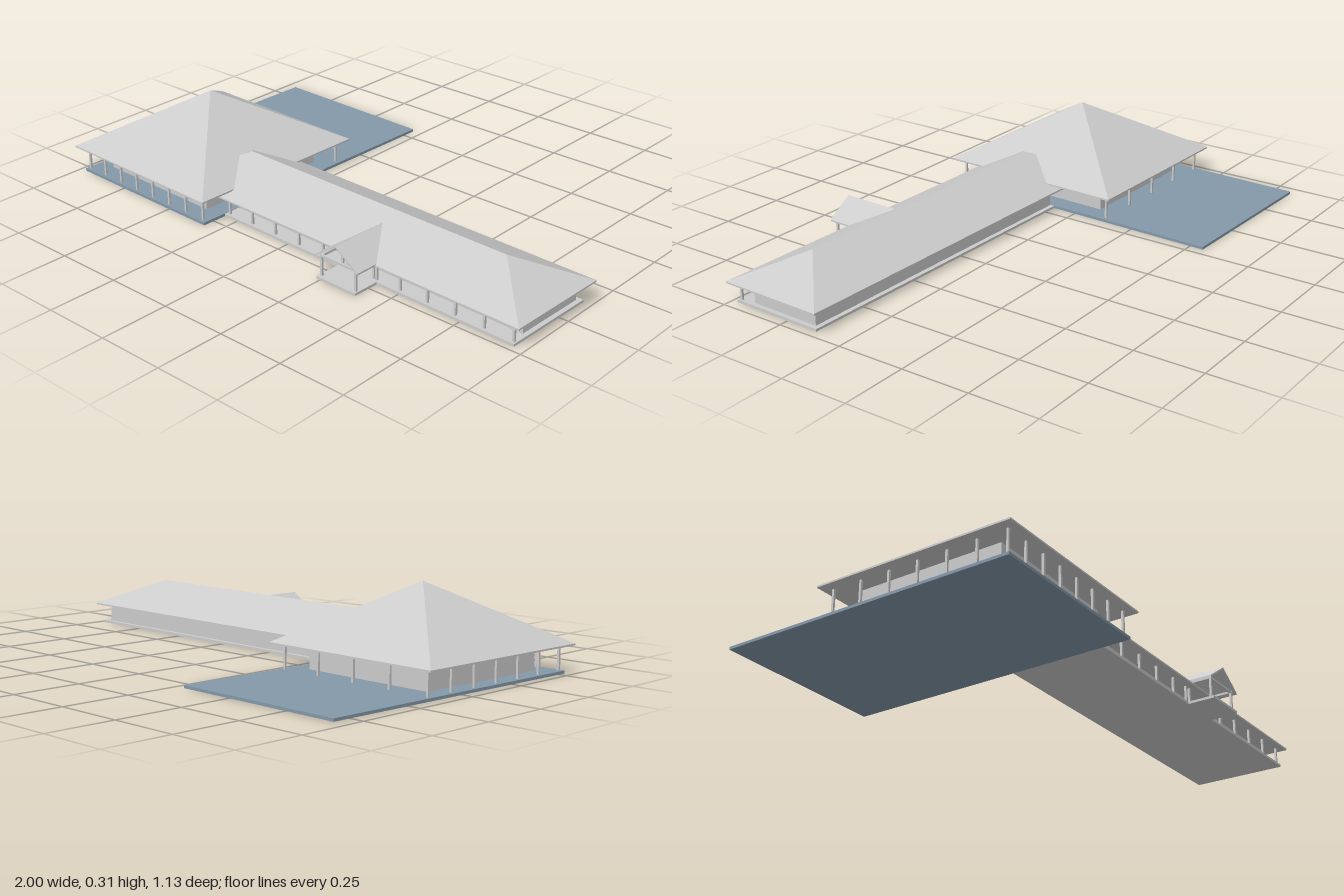
import * as THREE from 'three';

const grey = new THREE.MeshStandardMaterial({ color: 0xcccccc, flatShading: true, side: THREE.DoubleSide });
const blue = new THREE.MeshStandardMaterial({ color: 0x8499aa, flatShading: true });

// Box given by its extents on each axis
function block(name, [x0, x1], [y0, y1], [z0, z1], material = grey) {
  const mesh = new THREE.Mesh(new THREE.BoxGeometry(x1 - x0, y1 - y0, z1 - z0), material);
  mesh.position.set((x0 + x1) / 2, (y0 + y1) / 2, (z0 + z1) / 2);
  mesh.name = name;
  return mesh;
}

// Hipped roof on a thin fascia; equal ridge ends give a pyramid
function hipRoof(name, [x0, x1], [z0, z1], eave, top, [r0, r1], fascia = 0.006) {
  const zm = (z0 + z1) / 2;
  const pts = [];
  for (const y of [eave - fascia, eave]) pts.push(x0, y, z1, x1, y, z1, x1, y, z0, x0, y, z0);
  pts.push(r0, top, zm, r1, top, zm);
  const faces = [0, 3, 2, 0, 2, 1];
  for (let i = 0; i < 4; i++) {
    const j = (i + 1) % 4;
    faces.push(i, j, j + 4, i, j + 4, i + 4);
  }
  faces.push(4, 5, 9, 5, 6, 9, 6, 7, 8, 7, 4, 8);
  if (r0 !== r1) faces.push(4, 9, 8, 6, 8, 9);
  const indexed = new THREE.BufferGeometry();
  indexed.setAttribute('position', new THREE.Float32BufferAttribute(pts, 3));
  indexed.setIndex(faces);
  const geometry = indexed.toNonIndexed();
  geometry.computeVertexNormals();
  const mesh = new THREE.Mesh(geometry, grey);
  mesh.name = name;
  return mesh;
}

// Evenly spaced square posts from one point to another
function postRow(name, [ax, az], [bx, bz], count, y0, y1) {
  const row = new THREE.Group();
  row.name = name;
  const h = 0.004;
  for (let i = 0; i < count; i++) {
    const t = i / (count - 1);
    const x = ax + (bx - ax) * t, z = az + (bz - az) * t;
    row.add(block('post', [x - h, x + h], [y0, y1], [z - h, z + h]));
  }
  return row;
}

function buildPavilion() {
  const g = new THREE.Group();
  g.name = 'pavilion';
  g.add(block('terrace', [-0.96, -0.3], [0, 0.01], [-0.545, 0.552], blue));
  g.add(block('pavilionWalls', [-0.892, -0.372], [0.01, 0.098], [-0.06, 0.476]));
  g.add(hipRoof('pavilionRoof', [-0.985, -0.279], [-0.157, 0.573], 0.102, 0.31, [-0.632, -0.632]));
  const l = -0.945, r = -0.319, b = -0.122, f = 0.538;
  g.add(postRow('frontPosts', [l, f], [r, f], 8, 0.01, 0.098));
  g.add(postRow('backPosts', [l, b], [r, b], 5, 0.01, 0.098));
  g.add(postRow('rightPosts', [l, b], [l, f], 7, 0.01, 0.098));
  return g;
}

function buildWing() {
  const g = new THREE.Group();
  g.name = 'longWing';
  g.add(block('wingFloor', [-0.3, 0.972], [0, 0.009], [0.1, 0.455]));
  g.add(block('wingWalls', [-0.295, 0.955], [0.009, 0.076], [0.117, 0.39]));
  g.add(hipRoof('wingRoof', [-0.55, 1.0], [0.076, 0.472], 0.08, 0.175, [-0.345, 0.797]));
  g.add(postRow('wingPosts', [-0.285, 0.442], [0.962, 0.442], 12, 0.009, 0.076));
  return g;
}

function buildPorch() {
  const g = new THREE.Group();
  g.name = 'porch';
  const x = 0.333, w = 0.095, eave = 0.083, top = 0.147, t = 0.006;
  g.add(block('porchFloor', [x - 0.085, x + 0.085], [0, 0.009], [0.45, 0.556]));
  // Thin open gable running back into the wing roof
  const gable = new THREE.Shape([
    [-w, eave], [-w, eave - t], [0, top - t], [w, eave - t], [w, eave], [0, top],
  ].map(([px, py]) => new THREE.Vector2(px, py)));
  const roof = new THREE.Mesh(new THREE.ExtrudeGeometry(gable, { depth: 0.223, bevelEnabled: false }), grey);
  roof.name = 'porchRoof';
  roof.position.set(x, 0, 0.331);
  g.add(roof);
  for (const s of [-1, 1]) {
    const px = x + s * 0.075;
    g.add(block('porchBeam', [px - 0.004, px + 0.004], [0.078, 0.086], [0.44, 0.545]));
    g.add(postRow('porchPosts', [px, 0.442], [px, 0.54], 2, 0.009, 0.08));
  }
  g.add(block('tieBeam', [x - 0.079, x + 0.079], [0.078, 0.086], [0.536, 0.544]));
  return g;
}

export function createModel() {
  const model = new THREE.Group();
  model.name = 'house';
  // The plan is turned very slightly about the vertical
  const plan = new THREE.Group();
  plan.name = 'plan';
  plan.rotation.y = -0.024;
  plan.add(buildPavilion(), buildWing(), buildPorch());
  model.add(plan);
  return model;
}
